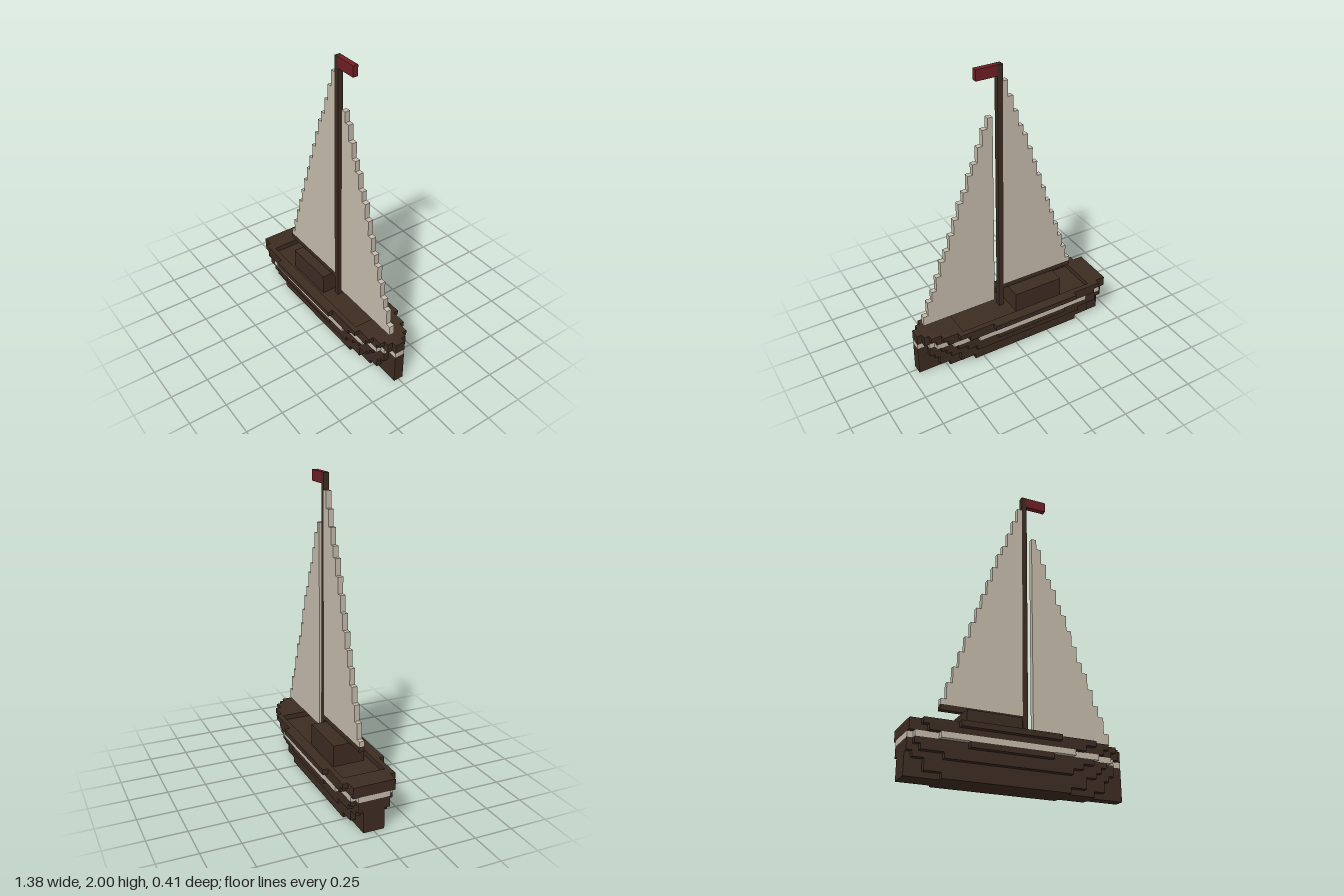
import * as THREE from 'three';

const V = 2 / 58; // one block

export function createModel() {
  const boat = new THREE.Group();
  boat.name = 'sailboat';
  const material = (name, color) => {
    const m = new THREE.MeshStandardMaterial({ color });
    m.name = name;
    return m;
  };
  const wood = material('dark wood', 0x3d2c22);
  const canvas = material('canvas', 0xc6bbac);
  const red = material('red cloth', 0x6e1f24);

  const add = (name, geometry, mat) => {
    const mesh = new THREE.Mesh(geometry.scale(V, V, V), mat);
    mesh.name = name;
    boat.add(mesh);
  };
  // Box given by its limits in blocks
  const box = (name, mat, x0, x1, y0, y1, z0, z1) => add(name,
    new THREE.BoxGeometry(x1 - x0, y1 - y0, z1 - z0)
      .translate((x0 + x1) / 2, (y0 + y1) / 2, (z0 + z1) / 2), mat);

  // Stepped hull outline; rows are [half width, stern x, bow x], widest first
  const outline = (rows) => {
    const half = [];
    let w = 0;
    for (const [hw, x0] of [...rows].reverse()) {
      half.push([x0, w], [x0, hw]);
      w = hw;
    }
    rows.forEach(([hw, , x1], i) => half.push([x1, hw], [x1, i + 1 < rows.length ? rows[i + 1][0] : 0]));
    const mirrored = half.map(([x, z]) => [x, -z]).reverse();
    const loop = [...half, ...mirrored].filter(([x, z], i, all) =>
      i === 0 || x !== all[i - 1][0] || z + 0 !== all[i - 1][1] + 0);
    loop.pop();
    return new THREE.Shape(loop.map(([x, z]) => new THREE.Vector2(x, z)));
  };
  const slab = (name, mat, shape, y, height) => add(name,
    new THREE.ExtrudeGeometry(shape, { depth: height, bevelEnabled: false })
      .rotateX(-Math.PI / 2).translate(0, y, 0), mat);

  // Hull, layer by layer from the keel upwards
  const layers = [
    ['keelLayer', wood, 0, 1, [[3, -14, 9], [2, -20, 14], [1, -20, 20]]],
    ['lowerHull', wood, 1, 2, [[3, -17, 12], [2, -20, 16], [1, -20, 20]]],
    ['bilgeLayer', wood, 3, 1, [[4, -14, 9], [3, -19, 14], [2, -20, 17], [1, -20, 20]]],
    ['middleHull', wood, 4, 1, [[4, -18, 11], [3, -20, 15], [2, -20, 18], [1, -20, 20]]],
    ['upperHull', wood, 5, 1, [[5, -10, 5], [4, -19, 13], [3, -20, 16], [2, -20, 18], [1, -20, 20]]],
    ['hullStripe', canvas, 6, 1, [[5, -15, 9], [4, -19, 14], [3, -20, 17], [2, -20, 18], [1, -20, 20]]],
    ['deck', wood, 7, 1, [[5, -17, 11], [4, -20, 15], [3, -20, 17], [2, -20, 19], [1, -20, 20]]],
  ];
  for (const [name, mat, y, height, rows] of layers) slab(name, mat, outline(rows), y, height);

  // Raised rim around the sunken deck
  const rim = outline([[6, -12, 6], [5, -18, 13], [4, -20, 16], [3, -20, 18], [2, -20, 19], [1, -20, 20]]);
  rim.holes.push(new THREE.Path([[-16, -4], [12, -4], [12, 4], [-16, 4]].map(([x, z]) => new THREE.Vector2(x, z))));
  slab('rim', wood, rim, 8, 1);

  // Cabin, mast, boom and flag
  box('cabin', wood, -10, 0, 8, 12, -3, 3);
  box('mast', wood, 1, 2, 8, 58, 0, 1);
  box('boom', wood, -14, 1, 12, 13, 0, 1);
  box('flag', red, 2, 6, 56, 58, 0, 1);

  // Stepped sails: one column per block, listed by top height
  const sail = (name, x0, bottom, tops) => {
    const points = [new THREE.Vector2(x0, bottom)];
    tops.forEach((t, i) => points.push(new THREE.Vector2(x0 + i, t), new THREE.Vector2(x0 + i + 1, t)));
    points.push(new THREE.Vector2(x0 + tops.length, bottom));
    add(name, new THREE.ExtrudeGeometry(new THREE.Shape(points), { depth: 1, bevelEnabled: false }), canvas);
  };
  sail('mainSail', -14, 13, [14, 17, 20, 23, 26, 29, 32, 35, 38, 41, 44, 46, 49, 52, 55]);
  sail('foreSail', 3, 10, [49, 47, 44, 41, 39, 36, 34, 31, 28, 25, 23, 20, 17, 15, 12]);

  return boat;
}
